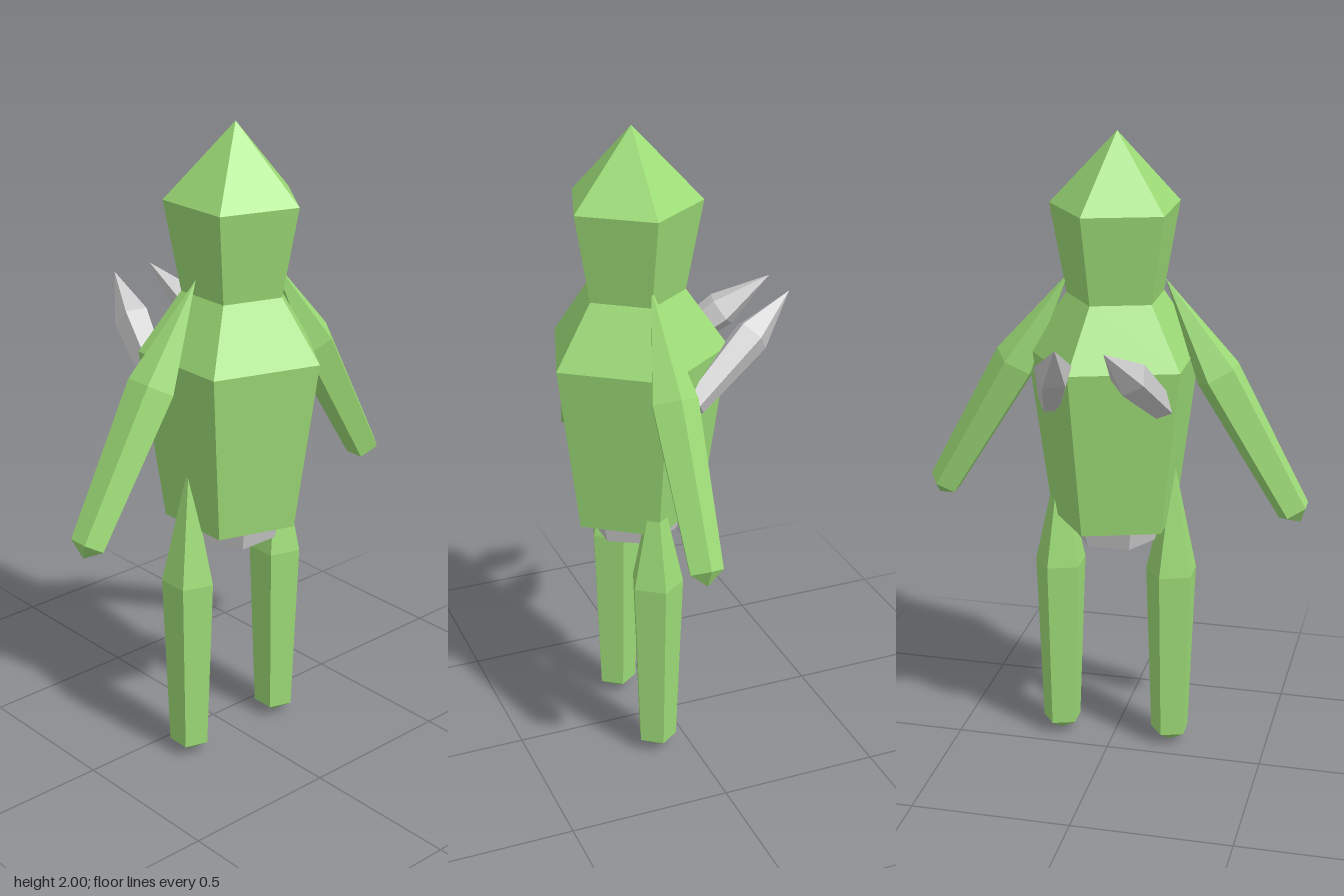
import * as THREE from 'three';

const green = new THREE.MeshStandardMaterial({ color: 0x9ddc77, flatShading: true });
const grey = new THREE.MeshStandardMaterial({ color: 0xcccccc, flatShading: true });
const V = (x, y, z) => new THREE.Vector3(x, y, z);

// Faceted solid of revolution with one corner towards +x; profile runs bottom to top
function faceted(name, profile, sides, material) {
  const points = profile.map(([r, y]) => new THREE.Vector2(r, y));
  const mesh = new THREE.Mesh(new THREE.LatheGeometry(points, sides, Math.PI / 2), material);
  mesh.name = name;
  return mesh;
}

// Five-sided limb: pointed at its start, widest at the joint, blunt point past its end
function limb(name, start, end, joint, jointRadius, endRadius, tip, material) {
  const axis = end.clone().sub(start);
  const length = axis.length();
  const mesh = faceted(name, [
    [0, -length - tip], [endRadius, -length], [jointRadius, -length * joint], [0, 0],
  ], 5, material);
  mesh.position.copy(start);
  mesh.quaternion.setFromUnitVectors(V(0, -1, 0), axis.normalize());
  return mesh;
}

export function createModel() {
  const model = new THREE.Group();
  const cx = -0.006, cz = 0.103;

  // Torso, neck and pointed head in one piece
  const body = faceted('body', [
    [0, 0.74], [0.21, 0.78], [0.286, 1.315], [0.158, 1.5], [0.21, 1.775], [0, 2],
  ], 5, green);
  body.position.set(cx, 0, cz);
  model.add(body);

  // Grey pelvis below the torso
  const pelvis = faceted('pelvis', [
    [0, 0.69], [0.132, 0.712], [0.146, 0.77], [0.1, 0.85], [0, 0.88],
  ], 6, grey);
  pelvis.position.set(cx, 0, cz);
  model.add(pelvis);

  for (const [side, s] of [['left', 1], ['right', -1]]) {
    model.add(limb(side + 'Arm', V(cx + s * 0.152, 1.56, cz), V(cx + s * 0.565, 0.845, cz),
      0.404, 0.074, 0.054, 0.04, green));
    model.add(limb(side + 'Leg', V(cx + s * 0.182, 0.99, cz), V(cx + s * 0.182, 0.045, cz),
      0.404, 0.084, 0.063, 0.04, green));
    // Spikes rising from the back
    model.add(limb(side + 'BackSpike', V(cx + s * 0.071, 1.455, -0.375), V(cx + s * 0.178, 1.185, -0.02),
      0.4, 0.058, 0.04, 0.03, grey));
  }
  return model;
}
